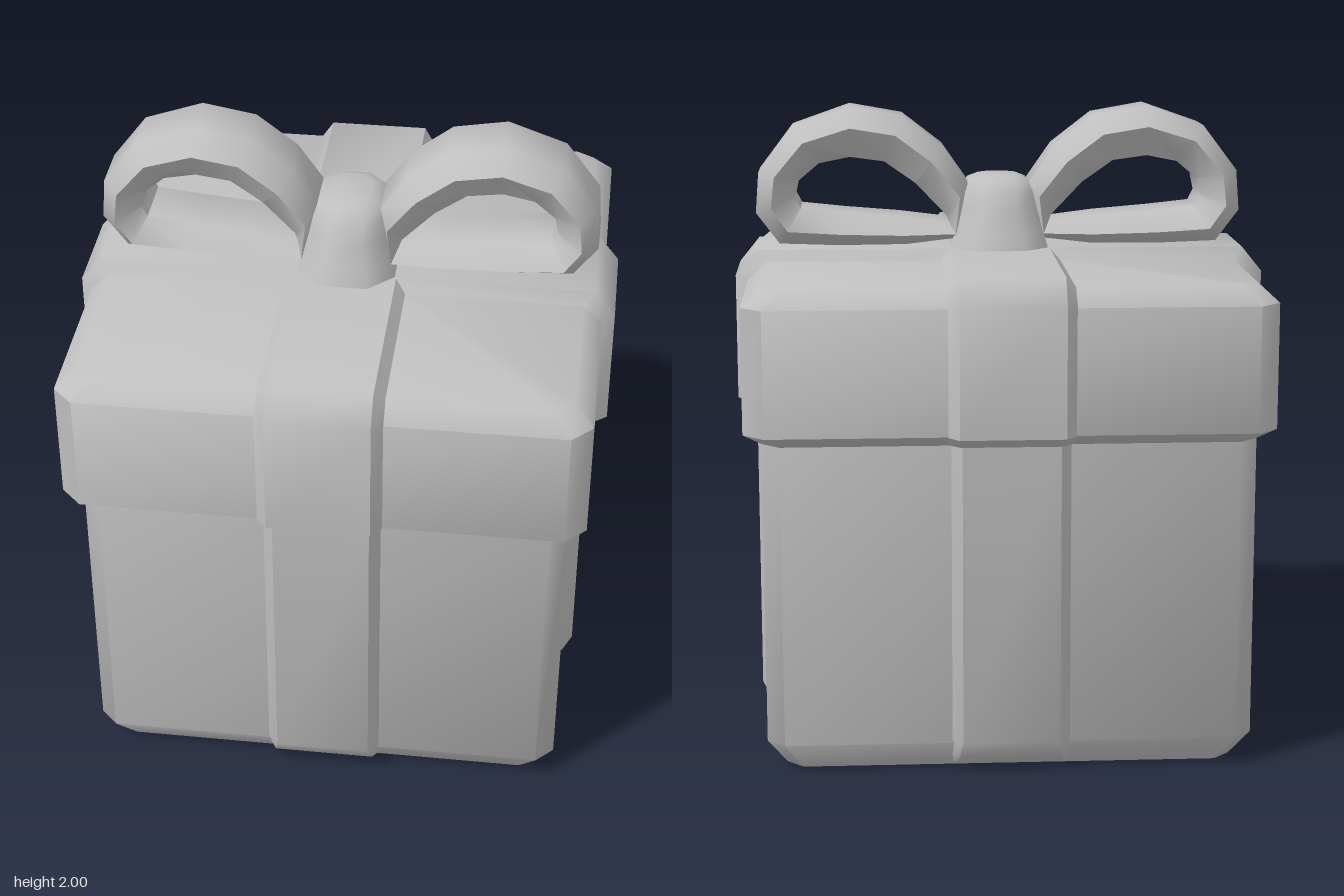
import * as THREE from 'three';
import { toCreasedNormals } from 'three/addons/utils/BufferGeometryUtils.js';

const CREASE = 0.97;

// Skin a list of cross-sections; sections and the whole sweep may each close on themselves.
function skin(rows, closeRow, closeSweep) {
  const n = rows.length, m = rows[0].length, index = [];
  for (let i = 0; i < (closeSweep ? n : n - 1); i++) {
    for (let j = 0; j < (closeRow ? m : m - 1); j++) {
      const i2 = (i + 1) % n, j2 = (j + 1) % m;
      const a = i * m + j, b = i * m + j2, c = i2 * m + j2, d = i2 * m + j;
      index.push(a, b, c, a, c, d);
    }
  }
  const geometry = new THREE.BufferGeometry();
  geometry.setAttribute('position', new THREE.Float32BufferAttribute(rows.flat(2), 3));
  geometry.setIndex(index);
  return toCreasedNormals(geometry, CREASE);
}

// Horizontal rectangle with cut corners.
function cutRect(y, hx, hz, cut) {
  const a = hx - cut, b = hz - cut;
  return [[-a, hz], [a, hz], [hx, b], [hx, -b], [a, -hz], [-a, -hz], [-hx, -b], [-hx, b]]
    .map(([x, z]) => [x, y, z]);
}

export function createModel() {
  const group = new THREE.Group();
  const grey = new THREE.MeshStandardMaterial({ color: 0xbfbfbf });
  grey.name = 'plain grey';
  const add = (name, geometry, parent = group) => {
    const mesh = new THREE.Mesh(geometry, grey);
    mesh.name = name;
    parent.add(mesh);
    return mesh;
  };

  // Box and lid: [y, half width, corner cut]
  const block = (name, rings) =>
    add(name, skin(rings.map(([y, h, c]) => cutRect(y, h, h, c)), true, false));
  block('box', [[0, 0, 0], [0, 0.695, 0.05], [0.09, 0.755, 0.055], [1.04, 0.755, 0.055]]);
  block('lid', [[1.035, 0.74, 0.055], [1.035, 0.755, 0.055], [1.072, 0.81, 0.065],
    [1.46, 0.81, 0.065], [1.515, 0.75, 0.06], [1.515, 0, 0]]);

  // Ribbon bands, one per side: [crown reach, crown y, base reach, base y, crown half width, base half width]
  const bands = {
    boxRibbon: [[0.695, 0, 0.69, 0, 0.172, 0.18], [0.76, 0.045, 0.72, 0.045, 0.16, 0.185],
      [0.79, 0.1, 0.752, 0.1, 0.15, 0.185], [0.79, 1.035, 0.752, 1.035, 0.15, 0.185]],
    lidRibbonLip: [[0.79, 1.035, 0.752, 1.035, 0.155, 0.19], [0.85, 1.07, 0.807, 1.07, 0.16, 0.195]],
    lidRibbon: [[0.85, 1.07, 0.807, 1.07, 0.16, 0.195], [0.85, 1.47, 0.807, 1.46, 0.16, 0.195],
      [0.785, 1.55, 0.75, 1.512, 0.16, 0.195], [0, 1.55, 0, 1.512, 0.16, 0.195]],
  };
  for (let k = 0; k < 4; k++) {
    const side = new THREE.Group();
    side.name = 'ribbonSide';
    side.rotation.y = k * Math.PI / 2;
    group.add(side);
    for (const [name, path] of Object.entries(bands)) {
      const rows = path.map(([r, y, rb, yb, w, wb]) =>
        [[-rb, yb, -wb], [-r, y, -w], [-r, y, w], [-rb, yb, wb]]);
      // Separate strips keep the bevel edges sharp
      ['Bevel', 'Crown', 'Bevel'].forEach((part, j) =>
        add(name + part, skin(rows.map(row => row.slice(j, j + 2)), false, false), side));
    }
  }

  // Knot: [y, half width, half depth, corner cut]
  add('knot', skin([[1.53, 0.16, 0.24, 0.08], [1.6, 0.142, 0.21, 0.075], [1.67, 0.125, 0.178, 0.07],
    [1.725, 0.115, 0.152, 0.06], [1.76, 0.095, 0.12, 0.05], [1.775, 0.06, 0.08, 0.03], [1.775, 0, 0, 0]]
    .map(([y, hx, hz, c]) => cutRect(y, hx, hz, c)), true, false));

  // Bow loop: [outer x, outer y, inner x, inner y] around the loop
  const loop = [[0.13, 1.575, 0.16, 1.625], [0.3, 1.555, 0.32, 1.645], [0.52, 1.553, 0.5, 1.66],
    [0.71, 1.56, 0.64, 1.675], [0.785, 1.66, 0.657, 1.71], [0.775, 1.79, 0.645, 1.765],
    [0.665, 1.935, 0.58, 1.82], [0.48, 2.0, 0.48, 1.84], [0.31, 1.97, 0.37, 1.825],
    [0.18, 1.87, 0.27, 1.755], [0.1, 1.755, 0.17, 1.65]];
  const loopRows = loop.map(([ox, oy, ix, iy]) =>
    [[0, 0.08], [0, -0.08], [0.4, -0.15], [1, -0.09], [1, 0.09], [0.4, 0.15]]
      .map(([t, z]) => [ox + (ix - ox) * t, oy + (iy - oy) * t, z]));
  const loopGeometry = skin(loopRows, true, true);
  add('leftBowLoop', loopGeometry);
  add('rightBowLoop', loopGeometry).rotation.y = Math.PI;

  return group;
}
